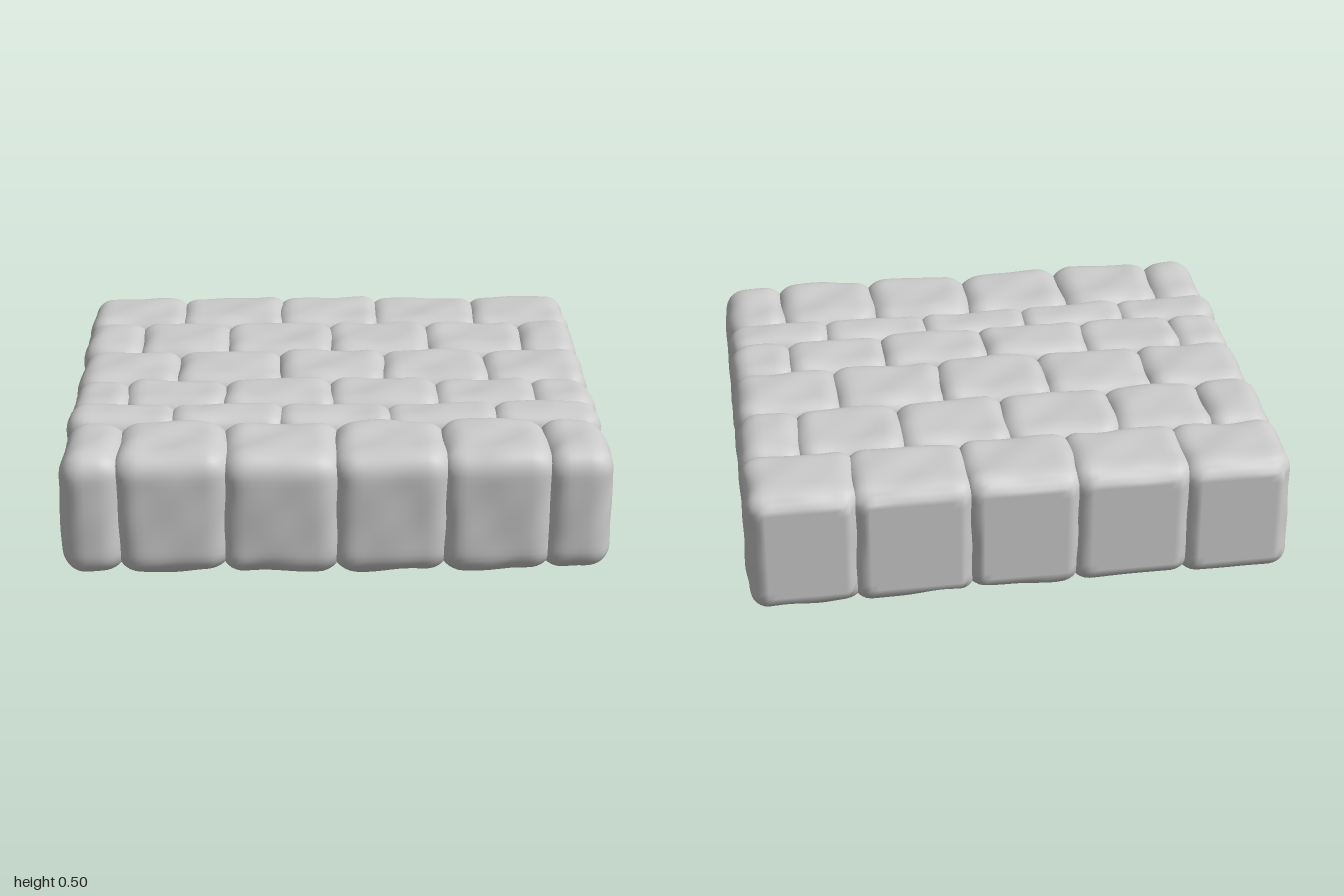
import * as THREE from 'three';
import { mergeVertices } from 'three/addons/utils/BufferGeometryUtils.js';

const HEIGHT = 0.5, BACK = -0.87;

// Stone courses from back to front: z range, joints along x, edge radius
const courses = [
  { z: [-0.87, -0.54], joints: [-1, -0.6, -0.2, 0.19, 0.6, 1], r: 0.08 },
  { z: [-0.54, -0.22], joints: [-1, -0.76, -0.41, 0, 0.39, 0.77, 1], r: 0.09 },
  { z: [-0.22, 0.09], joints: [-1, -0.6, -0.2, 0.2, 0.6, 1], r: 0.09 },
  { z: [0.09, 0.33], joints: [-1, -0.78, -0.41, -0.01, 0.39, 0.76, 1], r: 0.085 },
  { z: [0.33, 0.49], joints: [-1, -0.6, -0.2, 0.2, 0.6, 1], r: 0.08 },
  { z: [0.49, 0.87], joints: [-1, -0.78, -0.4, 0, 0.39, 0.76, 1], r: 0.1 },
];

function seeded(seed) {
  return () => {
    seed = (seed * 16807) % 2147483647;
    return seed / 2147483647;
  };
}

// Smooth bumps in the range 0..1
function bumps(x, y, z, s) {
  const a = Math.sin(13 * x + 4 * z + s) * Math.sin(12 * z - 5 * y + 2 * s);
  const b = Math.sin(27 * x - 9 * y + 3 * s) * Math.sin(25 * z + 21 * y + s);
  return 0.5 + 0.33 * a + 0.17 * b;
}

// Rounded, slightly worn block between two corners
function stoneGeometry(min, max, r, seed) {
  const size = max.clone().sub(min), centre = min.clone().add(max).multiplyScalar(0.5);
  const seg = (d) => Math.max(7, Math.round(d / 0.025));
  let geo = new THREE.BoxGeometry(size.x, size.y, size.z, seg(size.x), seg(size.y), seg(size.z));
  geo.deleteAttribute('uv');
  geo.deleteAttribute('normal');
  geo = mergeVertices(geo, 1e-4);

  const pos = geo.attributes.position;
  const p = new THREE.Vector3(), core = new THREE.Vector3(), dir = new THREE.Vector3();
  const inner = size.clone().multiplyScalar(0.5).subScalar(r);
  const low = inner.clone().negate();
  for (let i = 0; i < pos.count; i++) {
    p.fromBufferAttribute(pos, i);
    core.copy(p).clamp(low, inner);
    dir.copy(p).sub(core).normalize();
    p.copy(core).addScaledVector(dir, r).add(centre);
    const wear = 0.016 * bumps(p.x, p.y, p.z, seed);
    p.addScaledVector(dir, -wear);
    // The back of the slab stays flat
    if (min.z === BACK && dir.z < -0.9) p.z = BACK;
    pos.setXYZ(i, p.x, p.y, p.z);
  }
  geo.computeVertexNormals();
  return geo;
}

export function createModel() {
  const group = new THREE.Group();
  group.name = 'stoneSlab';
  const material = new THREE.MeshStandardMaterial({ color: 0xcccccc });
  const rand = seeded(4271);
  const overlap = 0.03;

  courses.forEach(({ z, joints, r }, row) => {
    const course = new THREE.Group();
    course.name = `stoneCourse${row + 1}`;
    const last = joints.length - 2;
    for (let i = 0; i <= last; i++) {
      // Neighbouring stones overlap so that only shallow joints show
      const min = new THREE.Vector3(
        joints[i] - (i ? overlap : 0),
        0.008 * rand(),
        z[0] - (row ? overlap : 0)
      );
      const max = new THREE.Vector3(
        joints[i + 1] + (i < last ? overlap : 0),
        HEIGHT + 0.006 - 0.012 * rand(),
        z[1] + (row < courses.length - 1 ? overlap : 0.005 - 0.01 * rand())
      );
      const stone = new THREE.Mesh(stoneGeometry(min, max, r, 10 * rand()), material);
      stone.name = `stone${row + 1}_${i + 1}`;
      course.add(stone);
    }
    group.add(course);
  });

  // Settle the slab on the ground
  const box = new THREE.Box3().setFromObject(group);
  group.children.forEach((course) => { course.position.y -= box.min.y; });
  return group;
}
